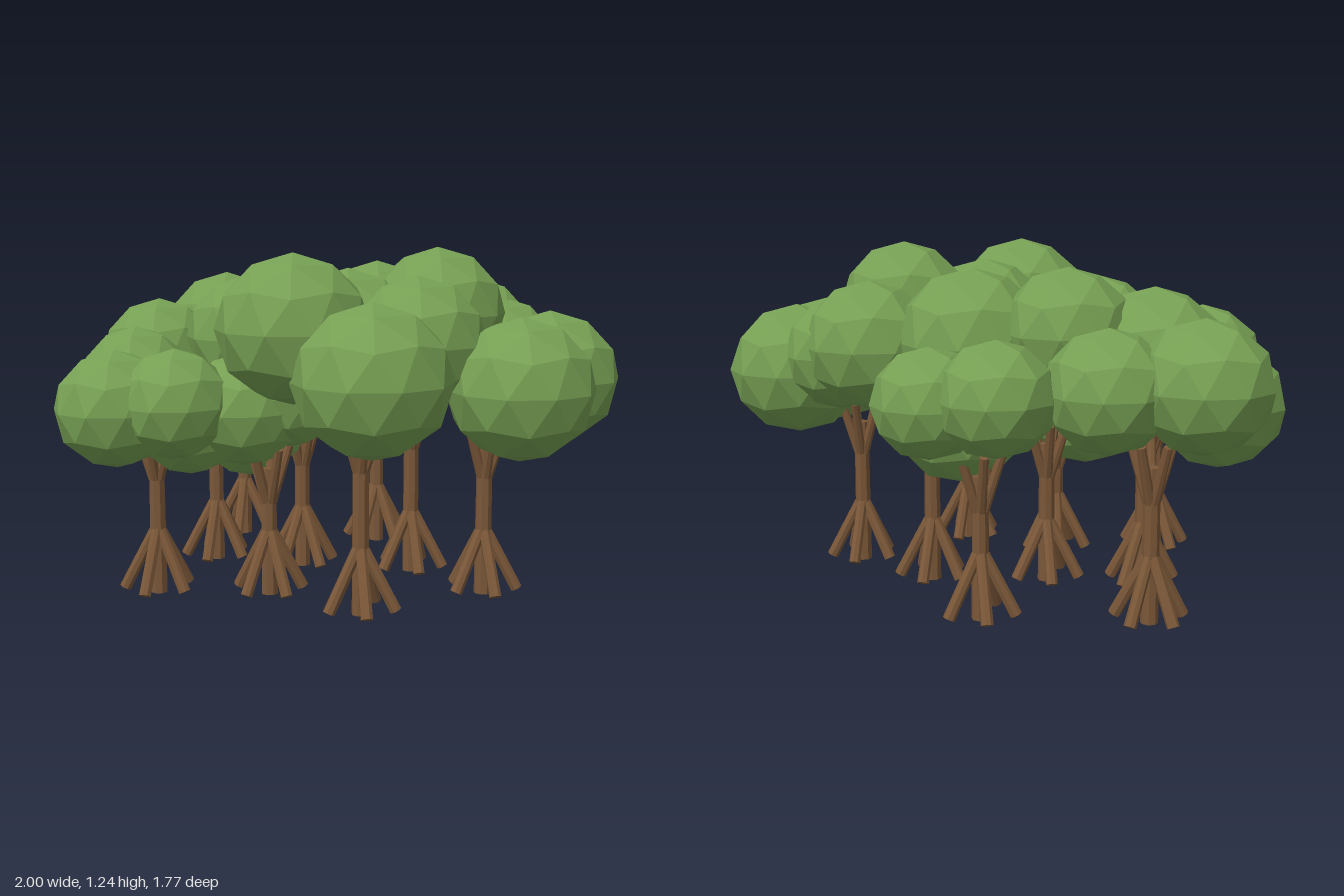
import * as THREE from 'three';

const foliage = new THREE.MeshStandardMaterial({ color: 0x769f53 });
foliage.name = 'leaf green';
foliage.flatShading = true;
const bark = new THREE.MeshStandardMaterial({ color: 0x7a5738 });
bark.name = 'bark brown';
bark.flatShading = true;

// Leaf clump: faceted ball with a vertex pointing up
const clumpGeo = new THREE.IcosahedronGeometry(1, 1).rotateX(-1.0172).rotateY(Math.PI / 2);
const UP = new THREE.Vector3(0, 1, 0);

// Tapered eight-sided limb between two points
function limb(name, a, b, rA, rB) {
  const dir = b.clone().sub(a);
  const mesh = new THREE.Mesh(new THREE.CylinderGeometry(rB, rA, dir.length(), 8), bark);
  mesh.name = name;
  mesh.position.copy(a).add(b).multiplyScalar(0.5);
  mesh.quaternion.setFromUnitVectors(UP, dir.normalize());
  return mesh;
}

// Trunk with a ring of sloping roots below and spreading branches above
function tree(x, z, forkY, turn) {
  const g = new THREE.Group();
  g.name = 'treeTrunk';
  g.position.set(x, 0, z);
  g.add(limb('trunk', new THREE.Vector3(0, 0, 0), new THREE.Vector3(0, forkY + 0.12, 0), 0.031, 0.028));
  for (let i = 0; i < 5; i++) {
    const a = turn + (i / 5) * Math.PI * 2;
    const at = (r, y) => new THREE.Vector3(Math.cos(a) * r, y, Math.sin(a) * r);
    g.add(limb('root', at(0.122, 0.018), at(0.012, 0.23), 0.022, 0.02));
    g.add(limb('branch', at(0.012, forkY), at(0.075, forkY + 0.2), 0.019, 0.016));
  }
  return g;
}

// x, z, fork height for each tree
const trees = [
  [-0.56, 0.41, 0.42], [-0.17, 0.31, 0.34], [0.21, 0.44, 0.5],
  [-0.535, -0.07, 0.44], [-0.18, -0.08, 0.4], [0.24, -0.13, 0.48],
  [-0.58, -0.48, 0.42], [-0.01, -0.53, 0.38], [0.56, 0.07, 0.43],
];

// x, y, z, radius of each leaf clump
const clumps = [
  // back row
  [-0.74, 0.83, -0.59, 0.23], [-0.79, 0.75, -0.44, 0.22], [-0.44, 0.81, -0.61, 0.215],
  [-0.09, 0.79, -0.69, 0.2], [0.14, 0.76, -0.63, 0.195],
  // middle, behind centre
  [-0.57, 0.88, -0.29, 0.25], [-0.28, 0.965, -0.34, 0.23], [0.06, 0.92, -0.28, 0.265],
  [0.44, 0.89, -0.23, 0.24], [0.56, 0.85, -0.18, 0.21], [0.76, 0.775, -0.07, 0.25],
  // middle, ahead of centre
  [-0.73, 0.82, 0.0, 0.22], [-0.35, 0.9, 0.02, 0.24], [0.1, 0.93, 0.23, 0.25],
  [0.385, 1.01, 0.09, 0.24], [0.36, 0.92, 0.28, 0.24], [0.71, 0.77, 0.235, 0.256],
  // front row
  [-0.68, 0.76, 0.31, 0.2], [-0.65, 0.685, 0.535, 0.215], [-0.43, 0.71, 0.52, 0.2],
  [0.0, 0.98, 0.52, 0.262], [0.3, 0.83, 0.62, 0.265],
  // low clumps under the canopy
  [-0.3, 0.61, 0.16, 0.22], [-0.44, 0.64, 0.38, 0.21], [-0.24, 0.68, 0.36, 0.21],
  [-0.1, 0.73, 0.28, 0.2], [0.08, 0.67, -0.41, 0.23], [0.03, 0.76, -0.04, 0.24],
];

export function createModel() {
  const grove = new THREE.Group();
  grove.name = 'grove';
  trees.forEach(([x, z, fork], i) => grove.add(tree(x, z, fork, i * 0.4 + 0.3)));
  for (const [x, y, z, r] of clumps) {
    const clump = new THREE.Mesh(clumpGeo, foliage);
    clump.name = 'leafClump';
    clump.position.set(x, y, z);
    clump.scale.set(r, r * 0.96, r);
    grove.add(clump);
  }
  return grove;
}
